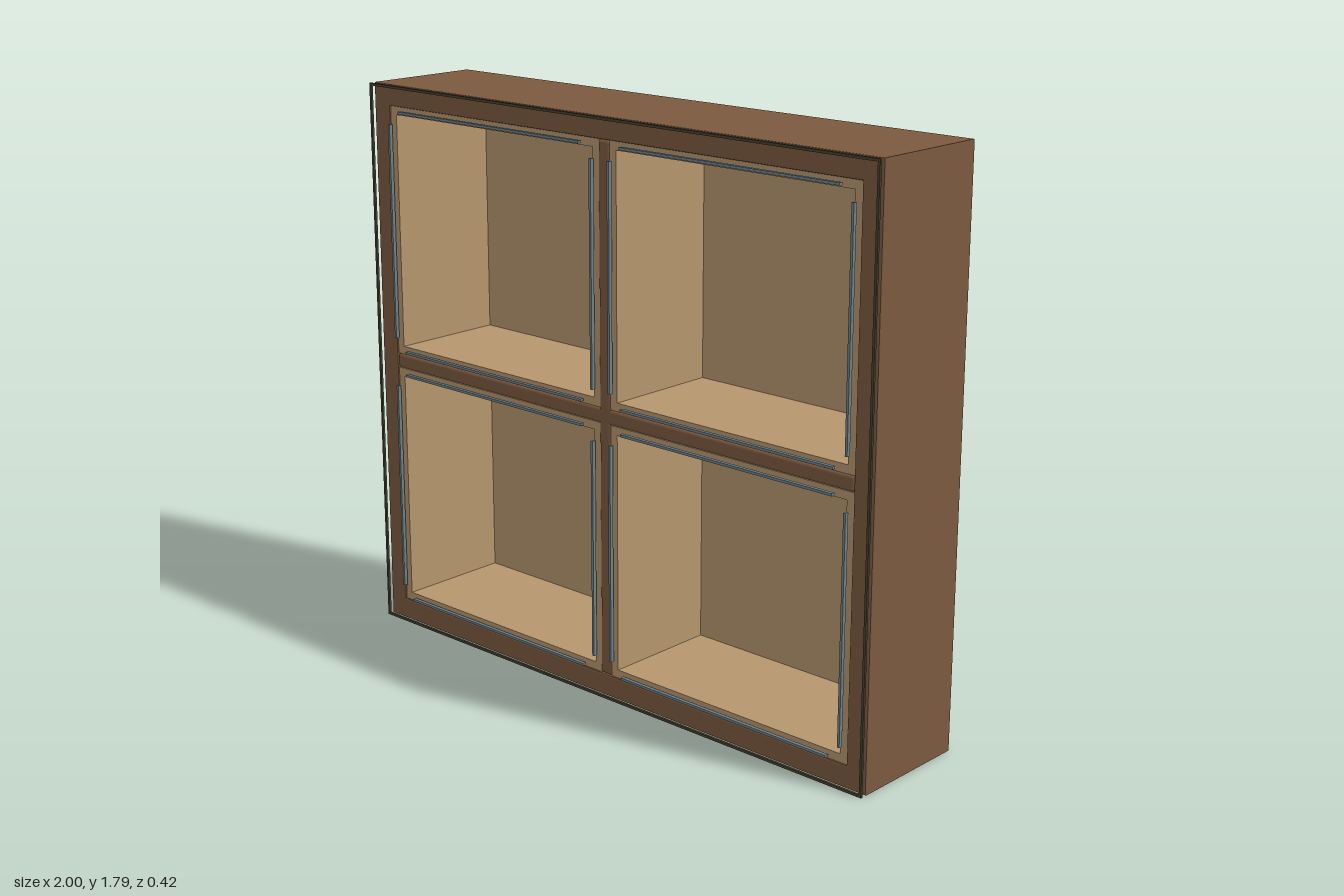
import * as THREE from 'three';
import { RoundedBoxGeometry } from 'three/addons/geometries/RoundedBoxGeometry.js';

const W = 2, H = 1.79, BACK = -0.21, FRONT = 0.19;
const paint = (color) => new THREE.MeshStandardMaterial({ color });
const wood = paint(0x7b593e), lining = paint(0xb5956d);
const steel = paint(0x6c8088), black = paint(0x1c1f22), edge = paint(0x45402f);

function add(parent, name, geometry, material, x = 0, y = 0, z = 0) {
  const mesh = new THREE.Mesh(geometry, material);
  mesh.name = name;
  mesh.position.set(x, y, z);
  parent.add(mesh);
  return mesh;
}

const box = (w, h, d) => new THREE.BoxGeometry(w, h, d);

// Rectangular ring between two rectangles, extruded from z0 to z1
function ring(outer, inner, z0, z1, bevel = 0) {
  const corners = ([x0, y0, x1, y1], b) => [
    [x0 + b, y0 + b], [x1 - b, y0 + b], [x1 - b, y1 - b], [x0 + b, y1 - b],
  ].map(([x, y]) => new THREE.Vector2(x, y));
  const shape = new THREE.Shape(corners(outer, bevel));
  shape.holes.push(new THREE.Path(corners(inner, -bevel).reverse()));
  const geometry = new THREE.ExtrudeGeometry(shape, {
    depth: z1 - z0 - 2 * bevel, bevelEnabled: bevel > 0,
    bevelSize: bevel, bevelThickness: bevel, bevelSegments: 2,
  });
  return geometry.translate(0, 0, z0 + bevel);
}

// One open compartment: lining, back panel, front strips and lamp
function compartment(x0, x1, y0, y1) {
  const group = new THREE.Group();
  group.name = 'compartment';
  const t = 0.026, cx = (x0 + x1) / 2, cy = (y0 + y1) / 2;
  const w = x1 - x0, h = y1 - y0;
  add(group, 'lining', ring([x0, y0, x1, y1], [x0 + t, y0 + t, x1 - t, y1 - t], -0.2, 0.185), lining);
  add(group, 'backPanel', box(w, h, 0.01), lining, cx, cy, -0.199);

  // Slim strips in front of the lining edges
  for (const s of [-1, 1]) {
    add(group, 'sideStrip', box(0.008, 0.69, 0.012), steel, cx + s * (w / 2 - 0.015), cy, 0.203);
    add(group, 'crossStrip', box(0.79, 0.008, 0.012), steel, cx, cy + s * (h / 2 - 0.014), 0.203);
  }

  // Flat lamp under the ceiling
  add(group, 'lampBody', box(0.33, 0.012, 0.09), black, cx, y1 - t - 0.006, 0);
  add(group, 'lampLens', box(0.25, 0.006, 0.05), black, cx, y1 - t - 0.015, 0);
  return group;
}

export function createModel() {
  const model = new THREE.Group();
  model.name = 'wallCabinet';

  // Outer case
  add(model, 'case', ring([-1, 0, 1, H], [-0.93, 0.07, 0.93, 1.722], BACK, FRONT, 0.005), wood);

  // Crossing dividers with softened edges
  add(model, 'verticalDivider', new RoundedBoxGeometry(0.046, 1.652, 0.394, 3, 0.01),
    wood, 0, 0.896, -0.008);
  add(model, 'shelf', new RoundedBoxGeometry(1.86, 0.048, 0.394, 3, 0.01),
    wood, 0, 0.896, -0.008);

  for (const [x0, x1] of [[-0.93, -0.021], [0.021, 0.93]]) {
    for (const [y0, y1] of [[0.07, 0.872], [0.92, 1.722]]) {
      model.add(compartment(x0, x1, y0, y1));
    }
  }

  // Thin edging standing just off the front
  add(model, 'frontEdging', ring([-W / 2, 0, W / 2, H], [-0.992, 0.008, 0.992, H - 0.008], 0.203, 0.21), edge);

  return model;
}
